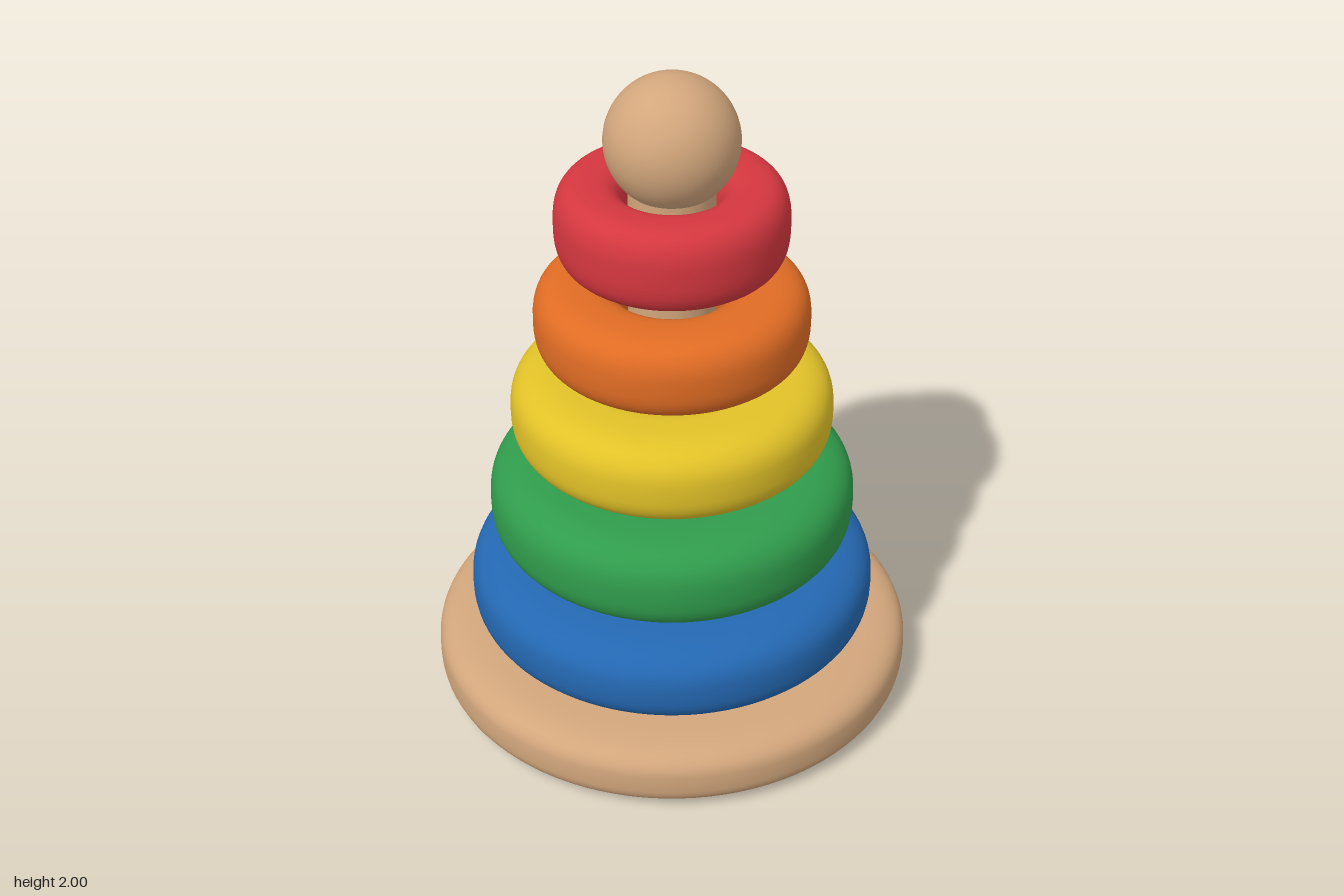
import * as THREE from 'three';

const paint = (name, color) => {
  const m = new THREE.MeshStandardMaterial({ color });
  m.name = name;
  return m;
};

// Ring with a soft, squarish cross-section, turned around the y axis.
function ringGeometry(inner, outer, bottom, top, power) {
  const mid = (inner + outer) / 2, a = (outer - inner) / 2;
  const cy = (bottom + top) / 2, b = (top - bottom) / 2;
  const soften = v => Math.sign(v) * Math.pow(Math.abs(v), 2 / power);
  const steps = 48, profile = [];
  for (let i = 0; i <= steps; i++) {
    const t = -Math.PI + (i / steps) * Math.PI * 2; // seam hidden in the hole
    profile.push(new THREE.Vector2(mid + a * soften(Math.cos(t)), cy + b * soften(Math.sin(t))));
  }
  return new THREE.LatheGeometry(profile, 96);
}

export function createModel() {
  const group = new THREE.Group();
  group.name = 'stackingRings';
  const wood = paint('wood', 0xd2a67c);

  const add = (name, geometry, material) => {
    const mesh = new THREE.Mesh(geometry, material);
    mesh.name = name;
    group.add(mesh);
    return mesh;
  };

  // Wooden base with an open centre
  add('base', ringGeometry(0.35, 0.717, 0.005, 0.2, 3.2), wood);

  // Post and ball on top
  add('post', new THREE.CylinderGeometry(0.123, 0.128, 1.49, 48), wood).position.y = 0.955;
  add('ball', new THREE.SphereGeometry(0.19, 48, 32), wood).position.y = 1.81;

  // Coloured rings, largest first: name, colour, inner and outer radius, bottom, top
  const rings = [
    ['blue', 0x2468b2, 0.2, 0.606, 0.207, 0.468],
    ['green', 0x309c4c, 0.19, 0.54, 0.5, 0.778],
    ['yellow', 0xe2c228, 0.17, 0.47, 0.823, 1.075],
    ['orange', 0xe06c24, 0.15, 0.396, 1.13, 1.37],
    ['red', 0xd5373f, 0.13, 0.331, 1.432, 1.685],
  ];
  for (const [name, color, inner, outer, bottom, top] of rings) {
    add(name + 'Ring', ringGeometry(inner, outer, bottom, top, 2.8), paint(name, color));
  }
  return group;
}
